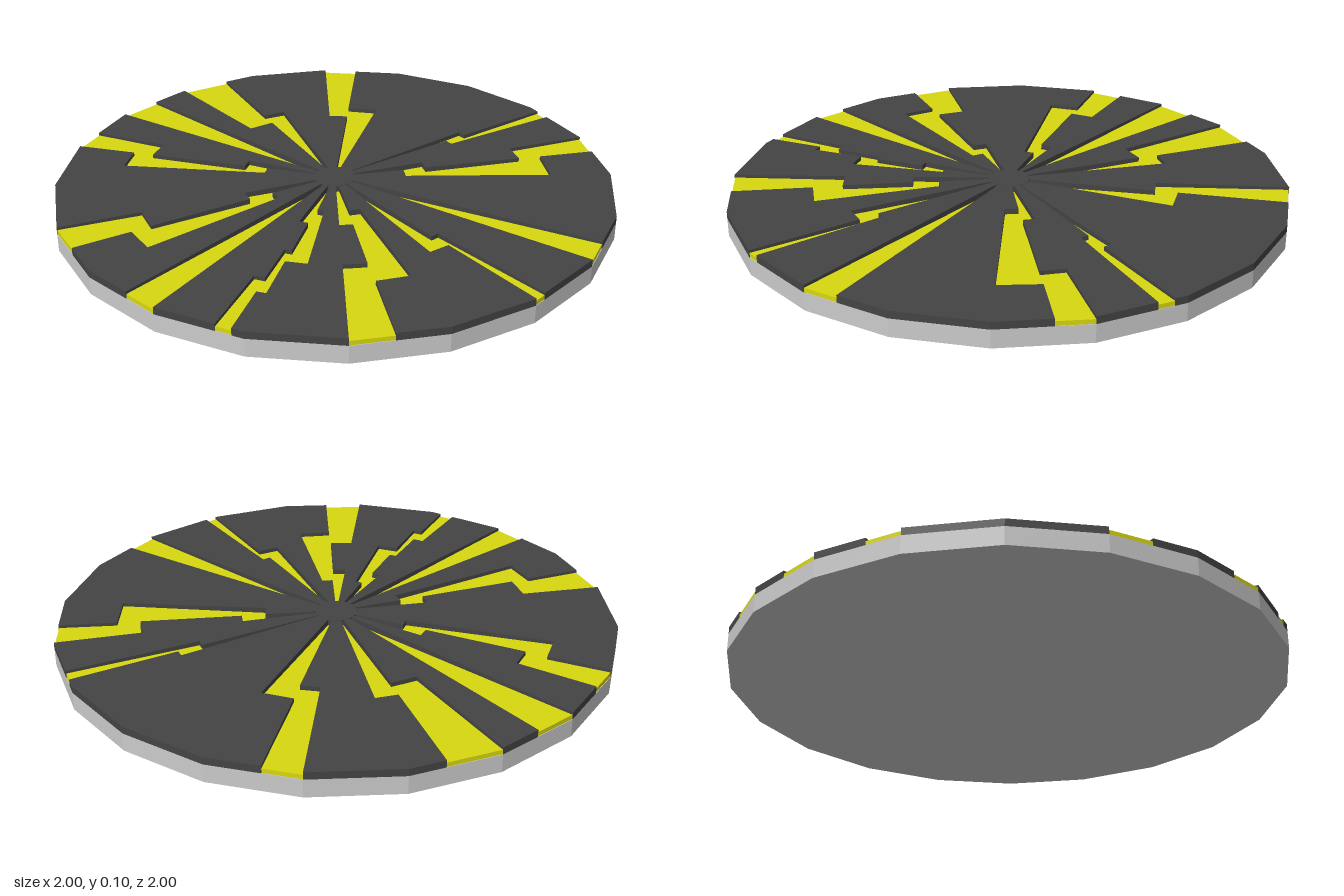
import * as THREE from 'three';

const SIDES = 20, STEP = 360 / SIDES;
const BASE_TOP = 0.064;

// Lightning channels, clockwise from the back: [anticlockwise edge, clockwise edge].
// An edge runs outward along rays: angle in degrees, radius of the jump, next angle, ...
const CHANNELS = [
  [[7.5, 0.525, 0], [18, 0.605, 7.4]],
  [[53.8, 0.61, 56.6], [56.7, 0.52, 60]],
  [[72, 0.34, 79, 0.7, 72], [79.5, 0.255, 90, 0.782, 79.1]],
  [[118.8], [126]],
  [[144.7, 0.525, 141.4], [151.3, 0.6, 144]],
  [[171, 0.252, 162.2, 0.7, 171.8], [180, 0.345, 172.2, 0.595, 180]],
  [[196.3, 0.25, 190.8, 0.595, 198, 0.787, 200.4], [203, 0.342, 197.8, 0.525, 200.5, 0.705, 203.6]],
  [[216], [223.4]],
  [[243.6, 0.25, 234.2, 0.78, 243.2], [252, 0.338, 243.5, 0.707, 252]],
  [[288, 0.256, 280, 0.78, 288], [295.3, 0.342, 288, 0.704, 295.2]],
  [[306], [315.2]],
  [[334.4, 0.525, 324], [342.5, 0.6, 334.9]],
];

const material = (color) => new THREE.MeshStandardMaterial({ color, flatShading: true });

// Plan point at a clockwise angle from the back
function polar(angle, radius) {
  const a = THREE.MathUtils.degToRad(angle);
  return new THREE.Vector2(radius * Math.sin(a), radius * Math.cos(a));
}

// Point on the straight-sided rim
function rimPoint(angle) {
  const cos = (d) => Math.cos(THREE.MathUtils.degToRad(d));
  return polar(angle, cos(STEP / 2) / cos((angle % STEP) - STEP / 2));
}

// Zigzag edge from the hub out to the rim
function edgePoints(edge) {
  const points = [];
  for (let i = 1; i < edge.length; i += 2) {
    points.push(polar(edge[i - 1], edge[i]), polar(edge[i + 1], edge[i]));
  }
  points.push(rimPoint(edge.at(-1)));
  return points;
}

// Raised plate filling the sector between two neighbouring channels
function plateGeometry(startEdge, endEdge) {
  const a0 = startEdge.at(-1);
  const a1 = endEdge.at(-1) < a0 ? endEdge.at(-1) + 360 : endEdge.at(-1);
  const outline = [new THREE.Vector2(0, 0), ...edgePoints(startEdge)];
  for (let a = Math.ceil(a0 / STEP) * STEP; a < a1; a += STEP) {
    if (a > a0) outline.push(rimPoint(a));
  }
  outline.push(...edgePoints(endEdge).reverse());

  const geo = new THREE.ExtrudeGeometry(new THREE.Shape(outline), { depth: 0.03, bevelEnabled: false });
  geo.rotateX(-Math.PI / 2);
  // The top rises gently towards the hub
  const p = geo.attributes.position;
  for (let i = 0; i < p.count; i++) {
    const top = p.getY(i) > 0.015;
    p.setY(i, top ? 0.103 - 0.013 * Math.hypot(p.getX(i), p.getZ(i)) : BASE_TOP);
  }
  geo.computeVertexNormals();
  return geo;
}

// Flat twenty-sided disc between two heights
function disc(name, radius, bottom, top, mat) {
  const mesh = new THREE.Mesh(new THREE.CylinderGeometry(radius, radius, top - bottom, SIDES), mat);
  mesh.name = name;
  mesh.position.y = (bottom + top) / 2;
  return mesh;
}

export function createModel() {
  const group = new THREE.Group();
  const dark = material(0x444444);

  // Grey base, yellow layer seen through the channels, and dark hub
  group.add(disc('baseDisc', 1, 0, BASE_TOP, material(0xcccccc)));
  group.add(disc('yellowLayer', 0.998, BASE_TOP, 0.08, material(0xd8d810)));
  group.add(disc('hub', 0.075, BASE_TOP, 0.103, dark));

  // Dark plates around the hub
  const plates = new THREE.Group();
  plates.name = 'darkPlates';
  CHANNELS.forEach((channel, i) => {
    const next = CHANNELS[(i + 1) % CHANNELS.length];
    const plate = new THREE.Mesh(plateGeometry(channel[1], next[0]), dark);
    plate.name = `plate${i + 1}`;
    plates.add(plate);
  });
  group.add(plates);

  return group;
}
